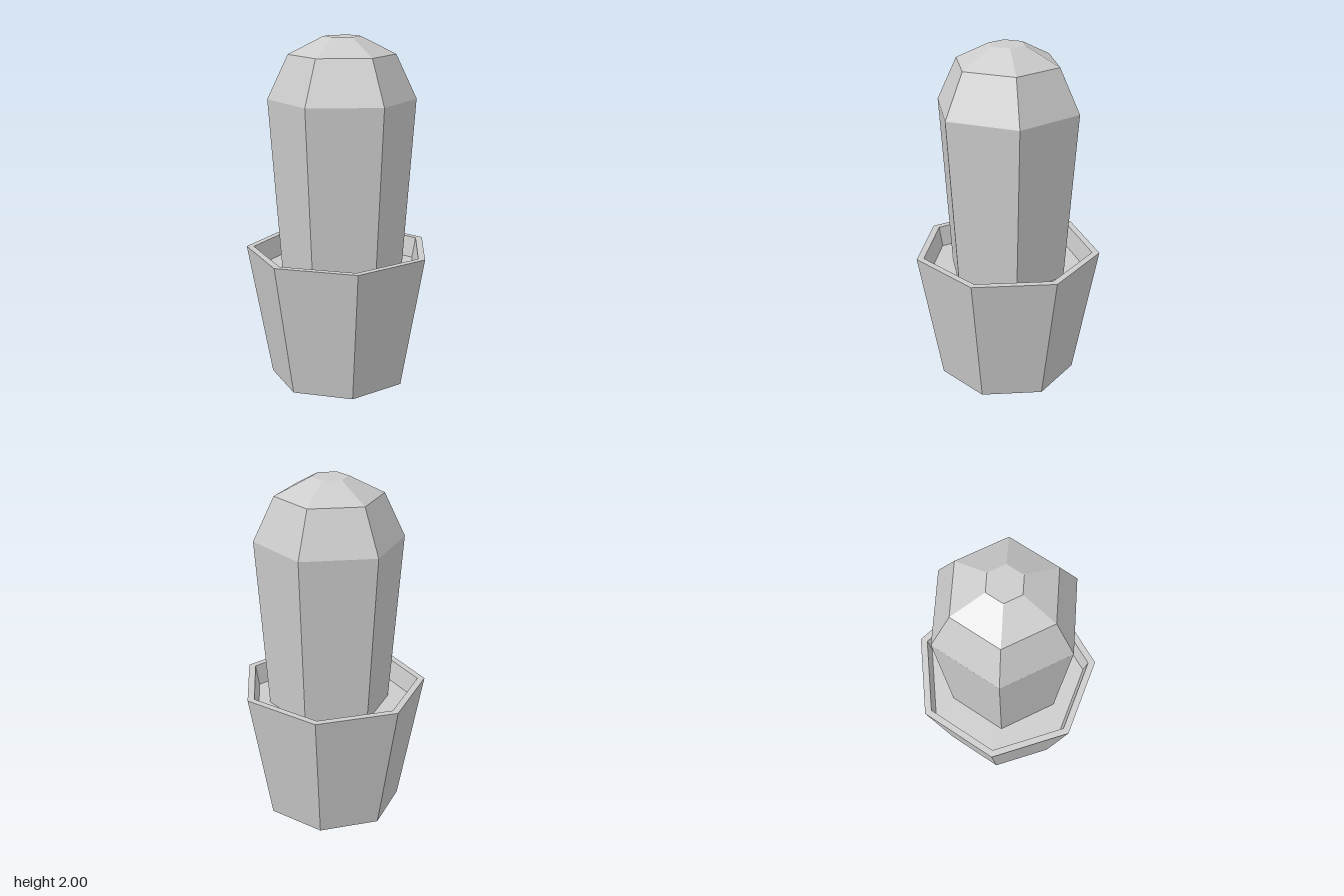
import * as THREE from 'three';

const material = new THREE.MeshStandardMaterial({ color: 0xcccccc, flatShading: true });

// Faceted solid turned from a [radius, height] profile, listed from bottom to top
function turned(name, profile, sides, startAngle) {
  const points = profile.map(([r, y]) => new THREE.Vector2(r, y));
  const mesh = new THREE.Mesh(new THREE.LatheGeometry(points, sides, startAngle), material);
  mesh.name = name;
  return mesh;
}

export function createModel() {
  const group = new THREE.Group();
  group.name = 'pottedCactus';

  // Seven-sided flared pot with a rim, one corner pointing to +x
  const pot = turned('pot', [
    [0, 0], [0.403, 0], [0.544, 0.78], [0.502, 0.78], [0.479, 0.66],
  ], 7, Math.PI / 2);

  // Flat soil closing the inside of the pot
  const soil = turned('soil', [[0.479, 0.66], [0, 0.66]], 7, Math.PI / 2);
  pot.position.x = soil.position.x = -0.027;

  // Six-sided cactus, widening upward and rounded off at the top
  const cactus = turned('cactus', [
    [0, 0.62], [0.348, 0.62], [0.421, 1.65], [0.303, 1.9], [0.105, 2], [0, 2],
  ], 6, 0);
  cactus.position.set(-0.012, 0, -0.006);

  group.add(pot, soil, cactus);
  return group;
}
